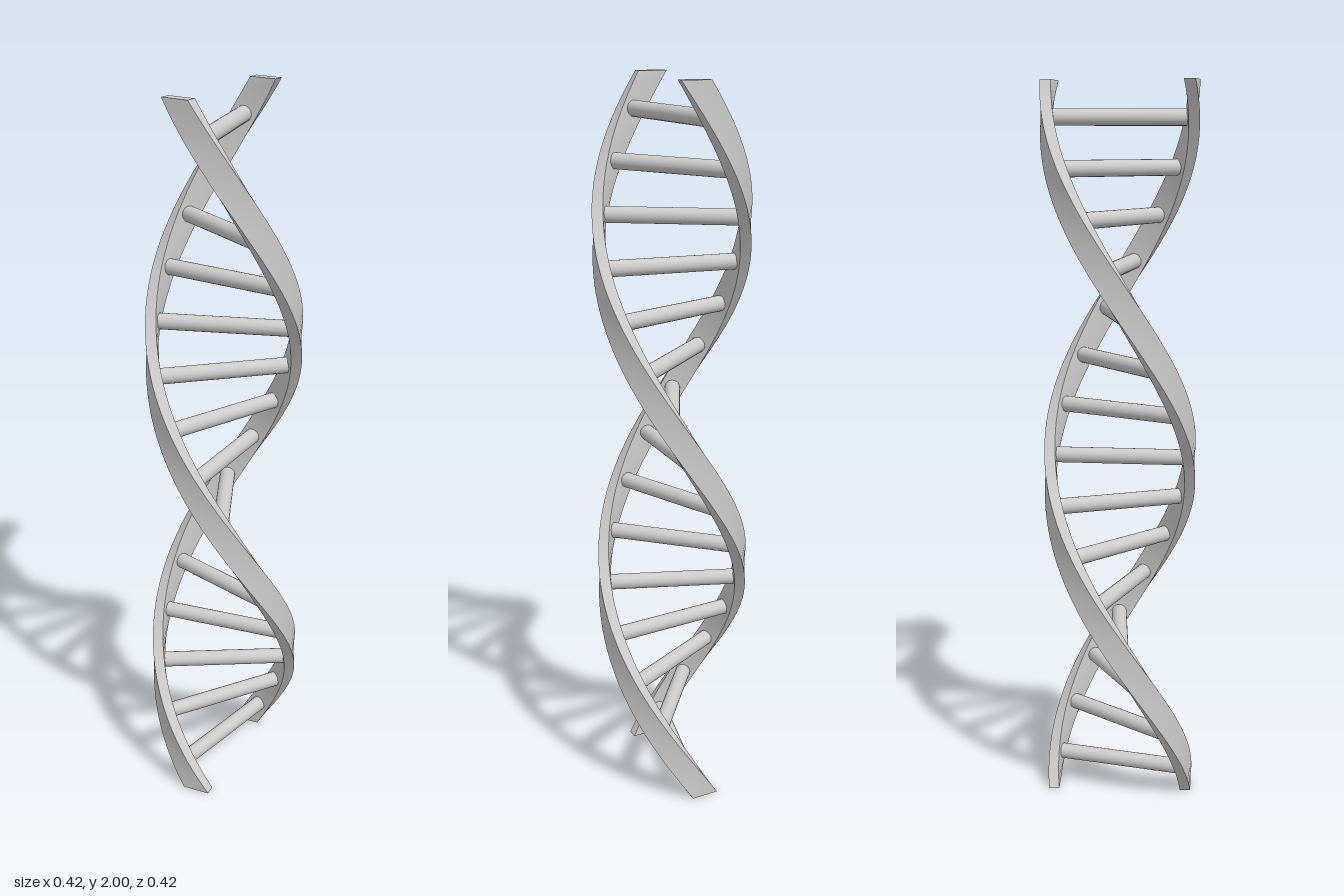
import * as THREE from 'three';

const HEIGHT = 2;
const START = THREE.MathUtils.degToRad(-23); // strand angle at the base
const TURN = THREE.MathUtils.degToRad(371); // total twist over the height
const R_IN = 0.176, R_OUT = 0.206, HALF_W = 0.039;
const STEPS = 80;

const angleAt = (y) => START + (TURN * y) / HEIGHT;

// Rectangular section swept up a helix; each side has its own vertices so edges stay sharp
function strandGeometry(phase) {
  const section = [[R_OUT, -HALF_W], [R_OUT, HALF_W], [R_IN, HALF_W], [R_IN, -HALF_W]];
  const pos = [], index = [];
  const corner = (k, y) => {
    const a = angleAt(y) + phase;
    const [r, t] = section[k % 4];
    pos.push(r * Math.cos(a) - t * Math.sin(a), y, r * Math.sin(a) + t * Math.cos(a));
  };
  // four long sides
  for (let k = 0; k < 4; k++) {
    const base = pos.length / 3;
    for (let i = 0; i <= STEPS; i++) {
      const y = (HEIGHT * i) / STEPS;
      corner(k, y);
      corner(k + 1, y);
      if (i < STEPS) {
        const a = base + i * 2, b = a + 1, c = a + 2, d = a + 3;
        index.push(a, c, b, b, c, d);
      }
    }
  }
  // flat end caps
  for (const y of [0, HEIGHT]) {
    const n = pos.length / 3;
    for (let k = 0; k < 4; k++) corner(k, y);
    if (y === 0) index.push(n, n + 1, n + 2, n, n + 2, n + 3);
    else index.push(n, n + 2, n + 1, n, n + 3, n + 2);
  }
  const g = new THREE.BufferGeometry();
  g.setAttribute('position', new THREE.Float32BufferAttribute(pos, 3));
  g.setIndex(index);
  g.computeVertexNormals();
  return g;
}

export function createModel() {
  const group = new THREE.Group();
  group.name = 'doubleHelix';
  const material = new THREE.MeshStandardMaterial({ color: 0xcccccc });

  // two opposite strands
  ['strandA', 'strandB'].forEach((name, i) => {
    const strand = new THREE.Mesh(strandGeometry(i * Math.PI), material);
    strand.name = name;
    group.add(strand);
  });

  // rungs joining the strands, turning with them
  const rungs = new THREE.Group();
  rungs.name = 'rungs';
  const rungGeometry = new THREE.CylinderGeometry(0.022, 0.022, 0.37, 20);
  rungGeometry.rotateZ(Math.PI / 2);
  for (let i = 0; i < 15; i++) {
    const y = 0.08 + i * 0.1303;
    const rung = new THREE.Mesh(rungGeometry, material);
    rung.name = `rung${i + 1}`;
    rung.position.y = y;
    rung.rotation.y = -angleAt(y);
    rungs.add(rung);
  }
  group.add(rungs);
  return group;
}
